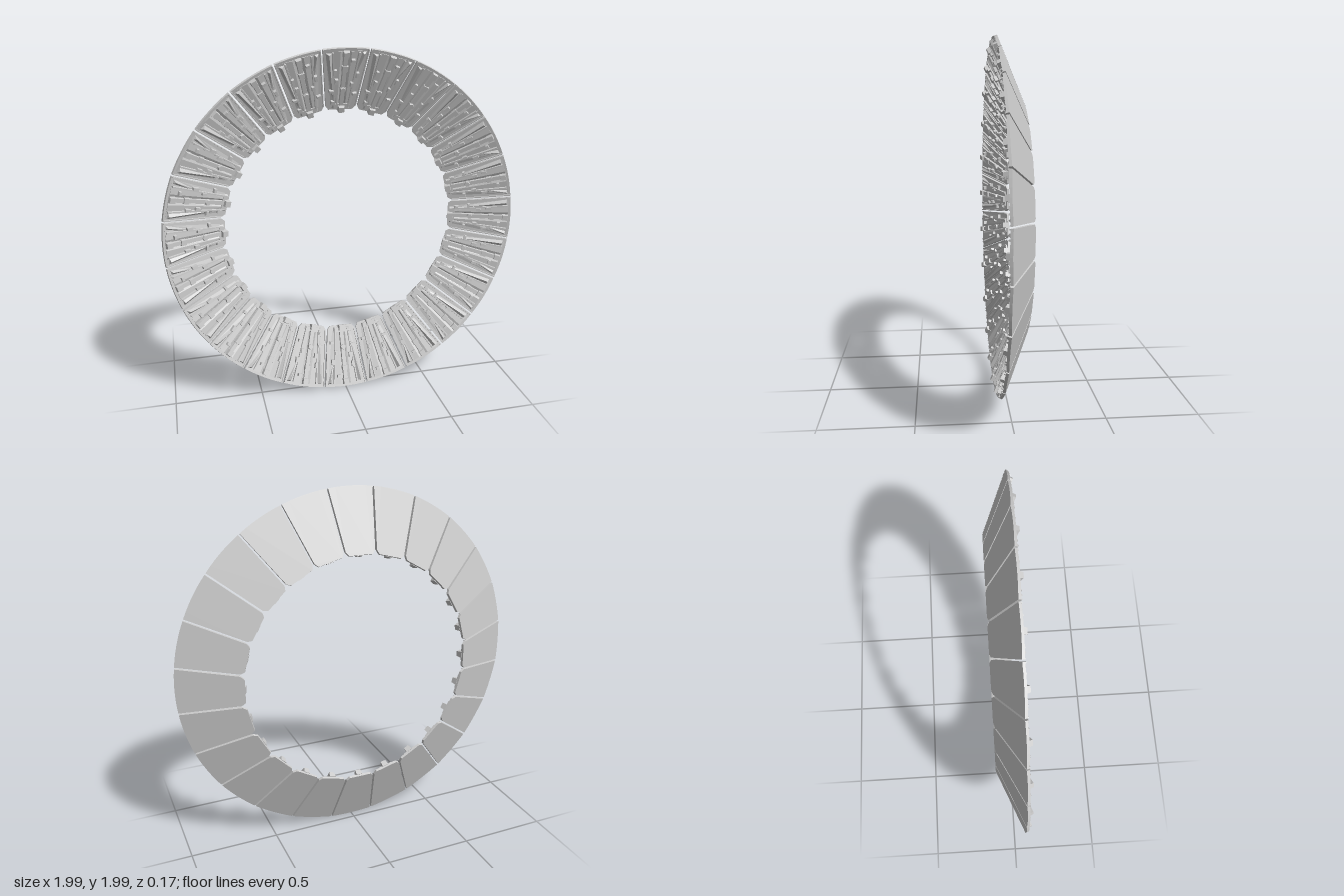
import * as THREE from 'three';
import { ConvexGeometry } from 'three/addons/geometries/ConvexGeometry.js';

const COUNT = 24;
const STEP = (Math.PI * 2) / COUNT;
const INNER = 0.66;            // radius of the inner edge
const LENGTH = 0.364;          // panel length along its slope
const TILT = 0.4;              // cone slope
const PLATE = 0.014;           // plate thickness
const grey = new THREE.MeshStandardMaterial({ color: 0xcccccc, flatShading: true });

// half width of a panel at distance s from its inner edge, leaving a seam
const half = (s) => (INNER + s * Math.cos(TILT)) * Math.tan(STEP / 2) - 0.006;

// plate outline with clipped inner corners and an arced outer edge
function plateGeometry() {
  const w1 = half(LENGTH);
  const shape = new THREE.Shape();
  shape.moveTo(-half(0) + 0.014, 0);
  shape.lineTo(half(0) - 0.014, 0);
  shape.lineTo(half(0.02), 0.02);
  shape.lineTo(w1, LENGTH - 0.006);
  shape.quadraticCurveTo(0, LENGTH + 0.01, -w1, LENGTH - 0.006);
  shape.lineTo(-half(0.02), 0.02);
  return new THREE.ExtrudeGeometry(shape, { depth: PLATE, bevelEnabled: false, curveSegments: 6 });
}

// box centred at (u, s), standing on the plate, with its top narrowed
function block(u, s, w, l, h, taper = 0.8) {
  const g = new THREE.BoxGeometry(w, l, h);
  const p = g.attributes.position;
  for (let i = 0; i < p.count; i++) if (p.getZ(i) > 0) p.setXY(i, p.getX(i) * taper, p.getY(i) * (1 - (1 - taper) * 0.4));
  return g.translate(u, s, PLATE + h / 2 - 0.002);
}

// solid hull of [u, s, n] points
const hull = (pts) => new ConvexGeometry(pts.map((p) => new THREE.Vector3(...p)));

function panelParts() {
  const parts = [['plate', plateGeometry()]];
  const add = (name, g) => parts.push([name, g]);

  // central spine with a clamp at each end and a hexagonal boss
  add('spine', block(0, 0.18, 0.028, 0.35, 0.014));
  add('innerClamp', block(0, 0.014, 0.038, 0.034, 0.034));
  add('innerFoot', block(0, 0.026, 0.1, 0.03, 0.012));
  add('outerClamp', block(0, 0.335, 0.036, 0.034, 0.026));
  add('spineCollar', block(0, 0.255, 0.036, 0.03, 0.022));
  add('boss', new THREE.CylinderGeometry(0.015, 0.018, 0.024, 6).rotateX(Math.PI / 2).translate(0, 0.13, PLATE + 0.012));

  for (const side of [-1, 1]) {
    // folded wing sloping from the spine down to the panel edge
    add('wing', hull([
      [side * 0.012, 0.03, 0.012], [side * 0.012, 0.35, 0.012],
      [side * 0.022, 0.03, 0.021], [side * 0.03, 0.35, 0.019],
      [side * 0.06, 0.03, 0.013], [side * 0.115, 0.35, 0.013],
    ]));
    // long rib running beside the spine, spreading outward
    add('rib', hull([0.02, 0.345].flatMap((s) => {
      const u = 0.036 + s * 0.1;
      return [[u - 0.007, s, 0.01], [u + 0.007, s, 0.01], [u - 0.004, s, 0.027], [u + 0.004, s, 0.027]]
        .map(([x, y, z]) => [side * x, y, z]);
    })));
    // raised lip along the seam
    add('edgeLip', hull([0.025, LENGTH - 0.008].flatMap((s) => {
      const u = side * half(s);
      return [[u, s, 0.005], [u - side * 0.008, s, 0.005], [u, s, 0.02], [u - side * 0.006, s, 0.02]];
    })));
  }

  // diagonal stiffening fin on one wing and a shorter one opposite
  add('diagonalFin', hull([
    [-0.045, 0.06, 0.012], [-0.055, 0.06, 0.012], [-0.11, 0.34, 0.012], [-0.07, 0.34, 0.012],
    [-0.05, 0.09, 0.02], [-0.092, 0.335, 0.034],
  ]));
  add('shortFin', hull([
    [0.05, 0.2, 0.012], [0.06, 0.19, 0.012], [0.112, 0.345, 0.012], [0.085, 0.345, 0.012],
    [0.096, 0.335, 0.03],
  ]));

  // small lugs scattered over the wings: u, s, width, length, height
  const lugs = [
    [-0.062, 0.12, 0.03, 0.015, 0.022], [0.066, 0.1, 0.026, 0.016, 0.022],
    [0.07, 0.215, 0.018, 0.034, 0.024], [-0.052, 0.235, 0.018, 0.034, 0.024],
    [0.04, 0.3, 0.024, 0.016, 0.026], [-0.04, 0.18, 0.02, 0.03, 0.024],
    [0.045, 0.16, 0.018, 0.028, 0.024], [-0.05, 0.05, 0.02, 0.024, 0.02],
  ];
  for (const l of lugs) add('lug', block(...l));
  return parts;
}

export function createModel() {
  const ring = new THREE.Group();
  ring.name = 'segmentedRing';
  const parts = panelParts();

  // identical panels set around the cone
  for (let i = 0; i < COUNT; i++) {
    const spoke = new THREE.Group();
    spoke.name = 'panel' + (i + 1);
    spoke.position.y = 1;
    spoke.rotation.z = -i * STEP;
    const panel = new THREE.Group();
    panel.name = 'panelBody';
    panel.position.set(0, INNER, -0.097);
    panel.rotation.x = TILT;
    for (const [name, geometry] of parts) {
      const mesh = new THREE.Mesh(geometry, grey);
      mesh.name = name;
      panel.add(mesh);
    }
    spoke.add(panel);
    ring.add(spoke);
  }
  return ring;
}
